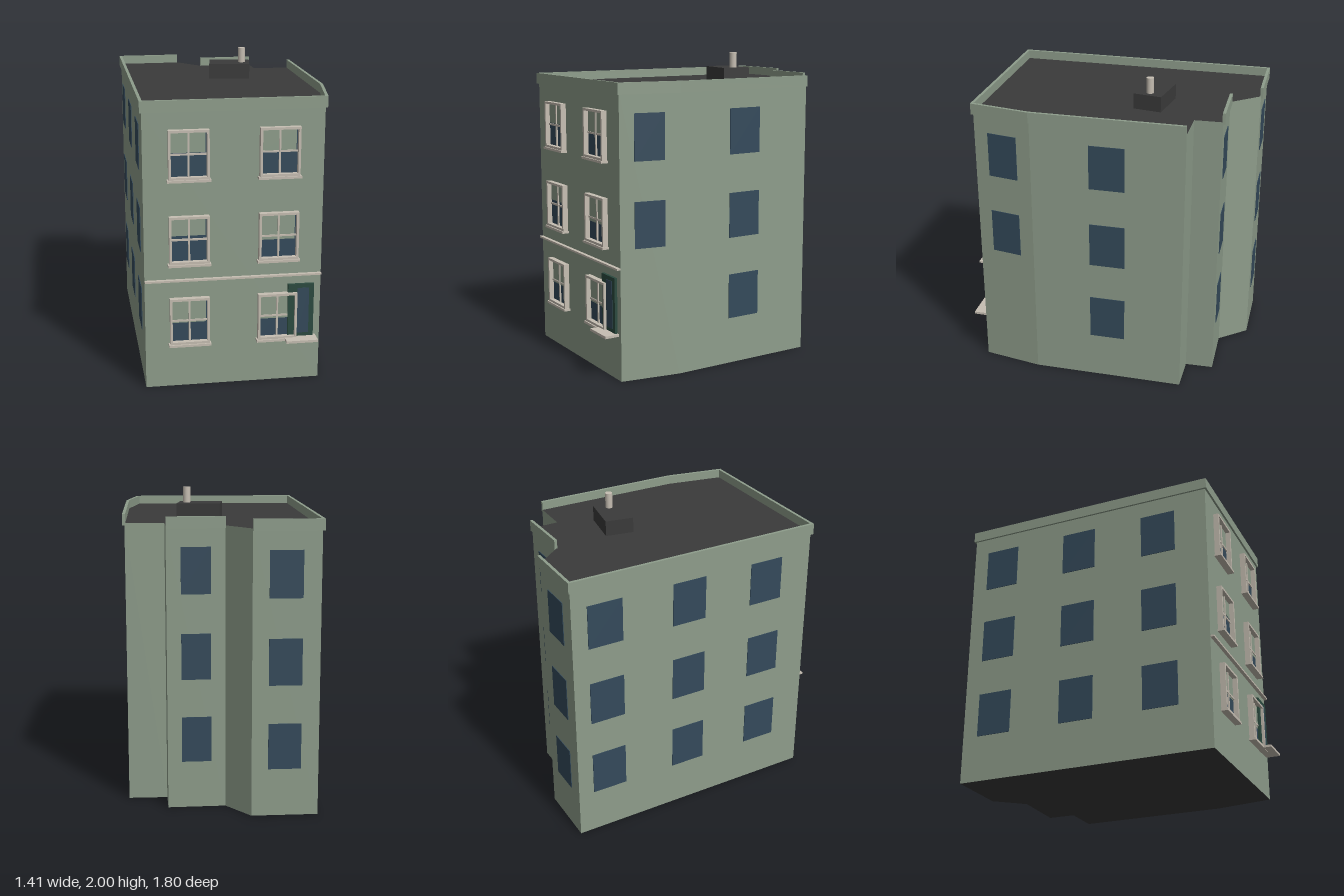
import * as THREE from 'three';

const mat = (name, color, side = THREE.FrontSide) => {
  const m = new THREE.MeshStandardMaterial({ color, side });
  m.name = name;
  return m;
};

export function createModel() {
  const wall = mat('sage wall', 0x8e9d8b);
  const roof = mat('dark roof', 0x3a3a3a);
  const glass = mat('blue glass', 0x344a5b);
  const trim = mat('cream trim', 0xc6beb2);
  const doorGreen = mat('door green', 0x2b4a3f);

  const model = new THREE.Group();
  model.name = 'cornerBuilding';

  const add = (parent, name, geometry, material) => {
    const m = new THREE.Mesh(geometry, material);
    m.name = name;
    parent.add(m);
    return m;
  };
  // Box given by its limits on each axis
  const box = (parent, name, material, x0, x1, y0, y1, z0, z1) => {
    const m = add(parent, name, new THREE.BoxGeometry(x1 - x0, y1 - y0, z1 - z0), material);
    m.position.set((x0 + x1) / 2, (y0 + y1) / 2, (z0 + z1) / 2);
    return m;
  };
  // Upright prism from a plan of [x, z] points
  const prism = (plan, y0, y1) => {
    const shape = new THREE.Shape(plan.map(([x, z]) => new THREE.Vector2(x, -z)));
    return new THREE.ExtrudeGeometry(shape, { depth: y1 - y0, bevelEnabled: false })
      .rotateX(-Math.PI / 2).translate(0, y0, 0);
  };

  // Footprint, starting at the front left corner and going round by the right
  const P = [
    [-0.42, 0.872], [0.686, 0.7], [0.69, 0.31], [0.534, -0.664], [0.29, -0.626],
    [0.256, -0.803], [-0.103, -0.737], [-0.28, -0.89], [-0.692, -0.82],
  ];
  const ROOF = 1.8;
  add(model, 'walls', prism(P, 0, ROOF), [roof, wall]);

  // Parapets: mitred strips along the open chains of edges
  const offset = (chain, d) => chain.map(([x, z], i) => {
    const normal = (a, b) => {
      const l = Math.hypot(b[0] - a[0], b[1] - a[1]);
      return [-(b[1] - a[1]) / l, (b[0] - a[0]) / l];
    };
    const n1 = i > 0 ? normal(chain[i - 1], chain[i]) : normal(chain[0], chain[1]);
    const n2 = i < chain.length - 1 ? normal(chain[i], chain[i + 1]) : n1;
    const k = d / (1 + n1[0] * n2[0] + n1[1] * n2[1]);
    return [x + (n1[0] + n2[0]) * k, z + (n1[1] + n2[1]) * k];
  });
  for (const ids of [[7, 8, 0, 1, 2, 3], [5, 6]]) {
    const chain = ids.map((i) => P[i]);
    const plan = [...offset(chain, 0.013), ...offset(chain, -0.006).reverse()];
    add(model, 'parapet', prism(plan, 1.785, 1.857), wall);
  }

  // Group lying on a wall edge: local x runs along it, local z points outward
  const onWall = (i, t, name) => {
    const a = P[i], b = P[(i + 1) % P.length];
    const g = new THREE.Group();
    g.name = name;
    g.position.set(a[0] + (b[0] - a[0]) * t, 0, a[1] + (b[1] - a[1]) * t);
    g.rotation.y = Math.atan2(a[1] - b[1], b[0] - a[0]);
    model.add(g);
    return g;
  };

  const ROWS = [0.45, 0.985, 1.525];
  const H = 0.146; // half height of the panes

  // Plain windows: [edge, position along it, width, lowest row]
  const plain = [
    [1, 0.5, 0.2, 1], [2, 0.5, 0.23, 0], [5, 0.5, 0.185, 0], [7, 0.49, 0.205, 0],
    [8, 0.13, 0.235, 0], [8, 0.472, 0.235, 0], [8, 0.805, 0.235, 0],
  ];
  for (const [edge, t, w, first] of plain) {
    const column = onWall(edge, t, 'sideWindows');
    for (const y of ROWS.slice(first)) {
      box(column, 'pane', glass, -w / 2, w / 2, y - H, y + H, -0.002, 0.004);
    }
  }

  // Front: framed sash windows with half-drawn blinds
  const front = onWall(0, 0.5, 'front');
  const blindDrop = [[0.435, 0.43], [1.01, 0.96], [1.535, 1.53]];
  ROWS.forEach((y, row) => [-0.28, 0.28].forEach((x, col) => {
    const g = new THREE.Group();
    g.name = 'sashWindow';
    g.position.x = x;
    front.add(g);
    const w = 0.125, h = 0.153, f = 0.015;
    box(g, 'pane', glass, -w + 0.01, w - 0.01, y - H, y + H, -0.002, 0.004);
    box(g, 'blind', wall, -w + 0.018, w - 0.022, blindDrop[row][col], y + H - 0.011, 0.003, 0.007);
    for (const s of [-1, 1]) {
      const sx = s * (w - f / 2), sy = y + s * (h - f / 2);
      box(g, 'stile', trim, sx - f / 2, sx + f / 2, y - h, y + h, 0, 0.036);
      box(g, 'rail', trim, -w + f, w - f, sy - f / 2, sy + f / 2, 0, 0.036);
    }
    box(g, 'mullion', trim, -0.006, 0.006, y - h + f, y + h - f, 0, 0.014);
    box(g, 'meetingRail', trim, -w + f, w - f, y - 0.006, y + 0.006, 0, 0.012);
    box(g, 'sill', trim, -w - 0.009, w + 0.009, y - h - 0.015, y - h, 0, 0.045);
  }));

  // Band course above the ground floor
  box(front, 'bandCourse', trim, -0.559, 0.559, 0.714, 0.726, 0, 0.024);

  // Door with glazed panel and a doorstep
  box(front, 'door', doorGreen, 0.348, 0.515, 0.3, 0.656, 0, 0.018);
  box(front, 'doorGlass', glass, 0.408, 0.483, 0.325, 0.63, 0.017, 0.021);
  box(front, 'doorStep', trim, 0.328, 0.532, 0.285, 0.301, 0, 0.095);

  // Rooftop box and flue
  box(model, 'roofBox', roof, -0.03, 0.245, ROOF, 1.9, -0.39, -0.205);
  const flue = add(model, 'flue', new THREE.CylinderGeometry(0.024, 0.024, 0.11, 12), trim);
  flue.position.set(0.192, 1.945, -0.297);

  return model;
}
